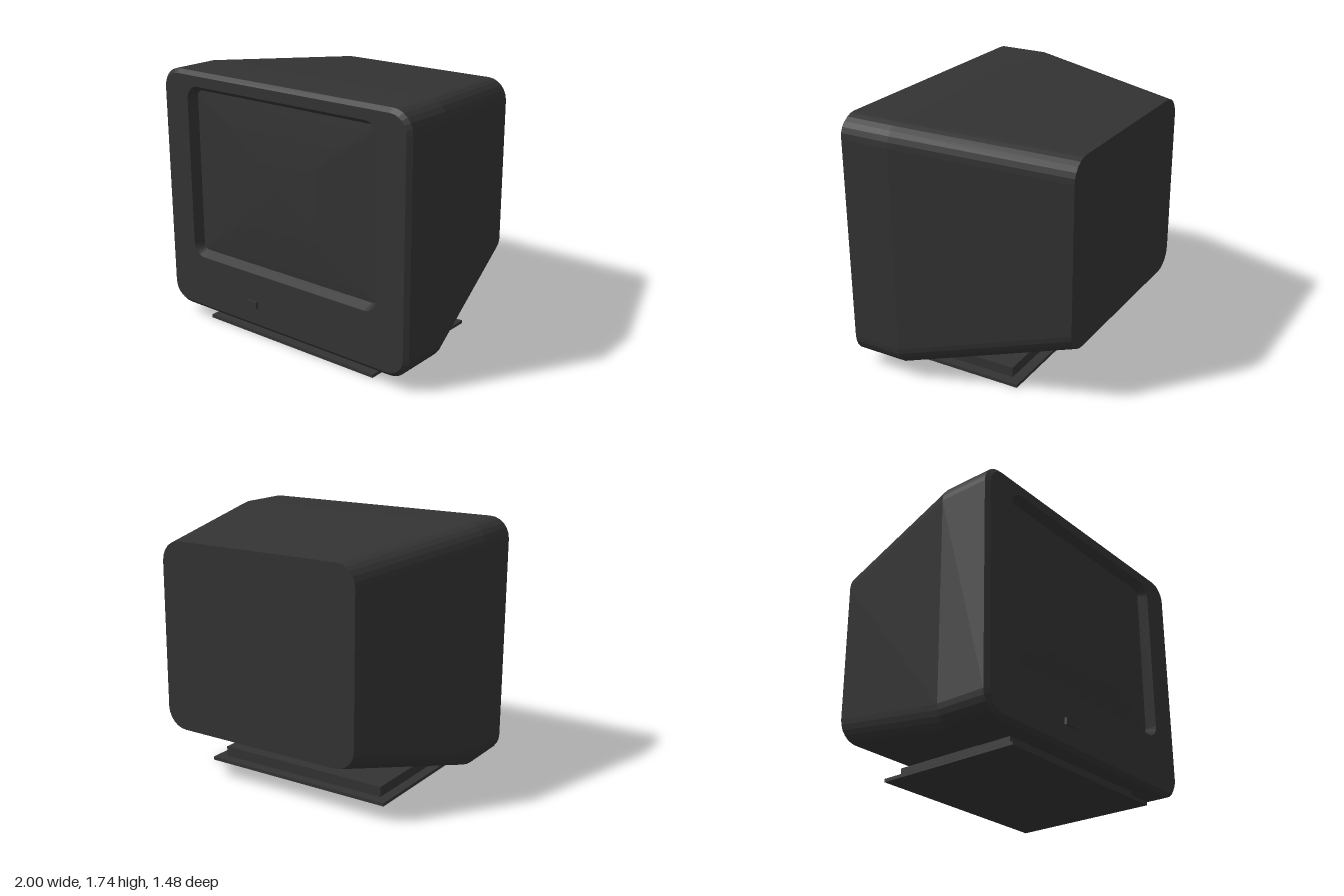
import * as THREE from 'three';

// Rounded rectangle ring, counter-clockwise seen from the front
function ring(halfW, y0, y1, r, z, scale = 1, steps = 6) {
  const cy = (y0 + y1) / 2, halfH = (y1 - y0) / 2;
  const corners = [[1, 1], [-1, 1], [-1, -1], [1, -1]];
  const pts = [];
  corners.forEach(([sx, sy], c) => {
    for (let i = 0; i <= steps; i++) {
      const a = (c + i / steps) * Math.PI / 2;
      const x = sx * (halfW - r) + r * Math.cos(a);
      const y = sy * (halfH - r) + r * Math.sin(a);
      pts.push(new THREE.Vector3(x * scale, cy + y * scale, z));
    }
  });
  return pts;
}

// Skin between rings listed from back to front (or outside to inside)
function loft(rings, smooth) {
  const n = rings[0].length, index = [];
  for (let i = 0; i < rings.length - 1; i++) {
    for (let j = 0; j < n; j++) {
      const k = (j + 1) % n;
      const a = i * n + j, b = i * n + k, c = b + n, d = a + n;
      index.push(a, b, c, a, c, d);
    }
  }
  let geo = new THREE.BufferGeometry().setFromPoints(rings.flat());
  geo.setIndex(index);
  if (!smooth) geo = geo.toNonIndexed();
  geo.computeVertexNormals();
  return geo;
}

export function createModel() {
  const model = new THREE.Group();
  model.name = 'monitor';
  const plastic = new THREE.MeshStandardMaterial({ color: 0x333333 });
  plastic.name = 'dark grey plastic';

  function add(name, geo) {
    const mesh = new THREE.Mesh(geo, plastic);
    mesh.name = name;
    model.add(mesh);
    return mesh;
  }
  function box(name, x0, x1, y0, y1, z0, z1) {
    add(name, new THREE.BoxGeometry(x1 - x0, y1 - y0, z1 - z0))
      .position.set((x0 + x1) / 2, (y0 + y1) / 2, (z0 + z1) / 2);
  }

  // Casing: back panel, tapered rear, straight front, bevel
  add('casing', loft([
    ring(0.73, 0.37, 1.63, 0.14, -0.74, 0.001),
    ring(0.73, 0.37, 1.63, 0.14, -0.74),
    ring(1, 0.09, 1.735, 0.14, 0.36),
    ring(1, 0.09, 1.735, 0.14, 0.7),
    ring(0.972, 0.117, 1.708, 0.115, 0.725),
  ]));

  // Front face and the sloping wall around the screen
  add('bezel', loft([
    ring(0.972, 0.117, 1.708, 0.115, 0.725),
    ring(0.77, 0.47, 1.64, 0.09, 0.725),
    ring(0.735, 0.505, 1.605, 0.04, 0.665),
  ]));

  // Gently domed screen
  const screenRings = [];
  for (let i = 0; i <= 10; i++) {
    const t = Math.max(1 - i / 10, 0.001);
    screenRings.push(ring(0.735, 0.505, 1.605, 0.04, 0.665 + 0.03 * (1 - t * t), t));
  }
  add('screen', loft(screenRings, true));

  // Power button and stand
  box('powerButton', -0.285, -0.195, 0.235, 0.28, 0.715, 0.743);
  box('standNeck', -0.633, 0.633, 0.02, 0.092, -0.27, 0.59);
  box('standFoot', -0.7, 0.7, 0, 0.022, -0.34, 0.66);
  return model;
}
